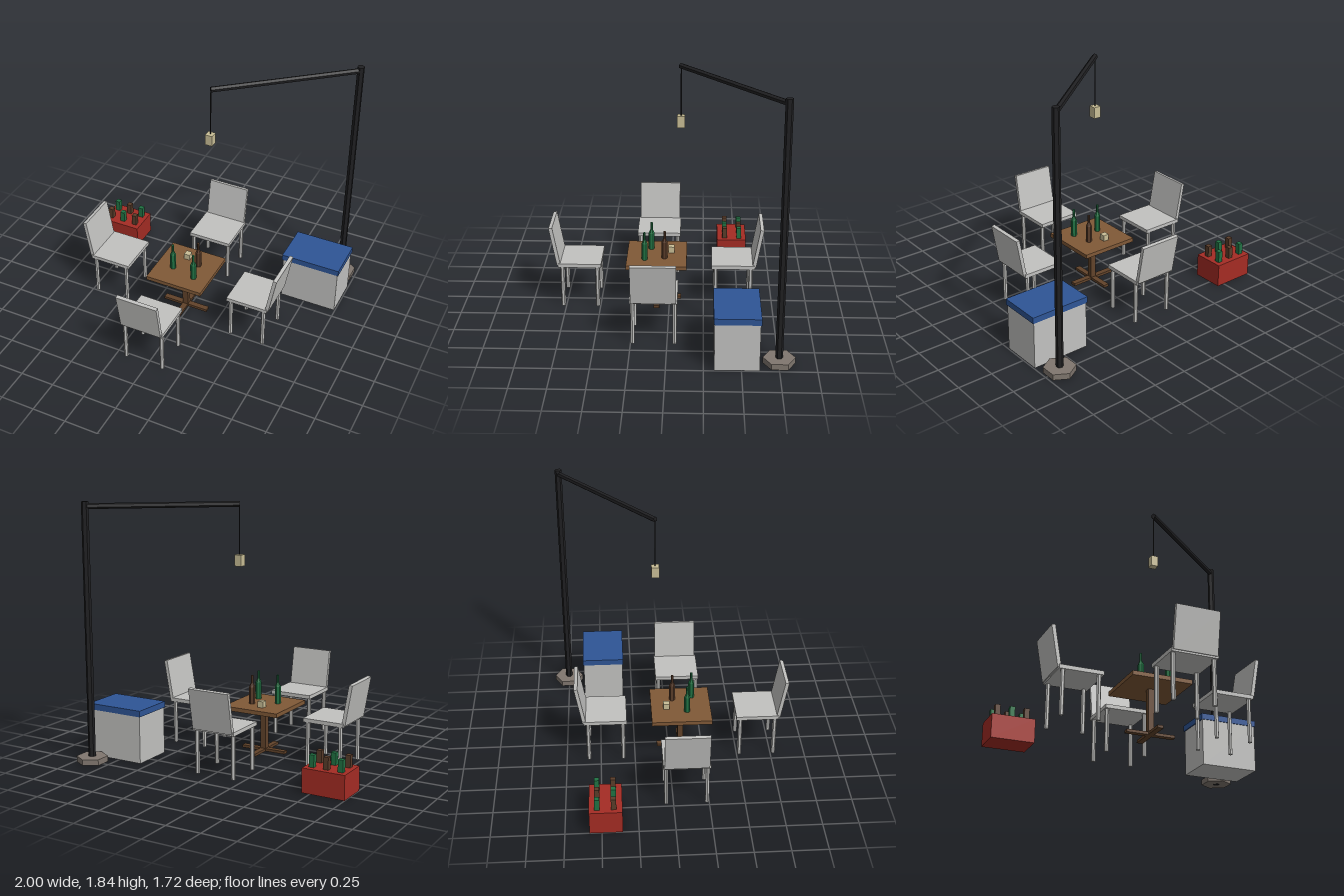
import * as THREE from 'three';

const material = (name, color, side = THREE.FrontSide) => {
  const m = new THREE.MeshStandardMaterial({ color, flatShading: true, side });
  m.name = name;
  return m;
};

export function createModel() {
  const grey = material('pale grey plastic', 0xc2c2c0);
  const blue = material('blue lid', 0x2e5596);
  const red = material('red crate', 0xa52c24);
  const wood = material('table wood', 0x805937);
  const darkWood = material('dark wood', 0x62432a);
  const green = material('green glass', 0x217344);
  const brown = material('brown glass', 0x5a3d2a);
  const black = material('black metal', 0x202022);
  const stone = material('stone base', 0x80776f);
  const cream = material('cream lamp', 0xcabf97);

  const model = new THREE.Group();
  model.name = 'outdoorSeating';

  const add = (parent, name, geometry, mat, x, y, z) => {
    const mesh = new THREE.Mesh(geometry, mat);
    mesh.name = name;
    mesh.position.set(x, y, z);
    parent.add(mesh);
    return mesh;
  };
  const group = (name, x = 0, y = 0, z = 0) => {
    const g = new THREE.Group();
    g.name = name;
    g.position.set(x, y, z);
    model.add(g);
    return g;
  };
  const box = (w, h, d) => new THREE.BoxGeometry(w, h, d);
  const hex = (r, h) => new THREE.CylinderGeometry(r, r, h, 6);

  // Table: square top on a column with crossed feet
  const cx = -0.034, cz = 0.092;
  const table = group('table', cx, 0, cz);
  add(table, 'tableTop', box(0.435, 0.03, 0.435), wood, 0, 0.341, 0);
  add(table, 'tableColumn', box(0.042, 0.31, 0.042), darkWood, 0, 0.172, 0);
  add(table, 'tableFootX', box(0.35, 0.02, 0.042), darkWood, 0, 0.01, 0);
  add(table, 'tableFootZ', box(0.042, 0.0196, 0.35), darkWood, 0, 0.01, 0);

  // Four chairs around the table, each with its back away from it
  for (let i = 0; i < 4; i++) {
    const angle = i * Math.PI / 2;
    const chair = group('chair', cx + Math.sin(angle) * 0.553, 0, cz + Math.cos(angle) * 0.553);
    chair.rotation.y = angle;
    add(chair, 'seat', box(0.327, 0.028, 0.31), grey, 0, 0.326, 0);
    const back = add(chair, 'backrest', box(0.31, 0.295, 0.026), grey, 0, 0.4705, 0.177);
    back.rotation.x = 0.175;
    for (const x of [-0.143, 0.143])
      for (const z of [-0.126, 0.126])
        add(chair, 'chairLeg', hex(0.0155, 0.314), grey, x, 0.157, z);
  }

  // Bottles standing on the table
  const profile = [[0, 0], [0.022, 0], [0.022, 0.125], [0.009, 0.155], [0.009, 0.21], [0, 0.21]]
    .map(([r, y]) => new THREE.Vector2(r, y));
  const bottle = new THREE.LatheGeometry(profile, 6);
  add(model, 'brownBottle', bottle, brown, 0.037, 0.356, 0.035);
  add(model, 'greenBottle', bottle, green, -0.12, 0.356, 0.135);
  add(model, 'greenBottle', bottle, green, 0.065, 0.356, 0.178);

  // Small cube on the table
  add(model, 'tableCube', box(0.045, 0.045, 0.045), cream, -0.07, 0.3785, -0.013);

  // Cool box
  const cooler = group('coolBox', 0.78, 0, -0.47);
  add(cooler, 'coolBoxBody', box(0.425, 0.342, 0.3), grey, 0, 0.171, 0);
  add(cooler, 'coolBoxLid', box(0.44, 0.044, 0.312), blue, 0, 0.362, 0);

  // Crate with six bottle tops in alternating colours
  const crate = group('crate', -0.846, 0, -0.471);
  add(crate, 'crateBody', box(0.308, 0.17, 0.226), red, 0, 0.085, 0);
  for (let i = 0; i < 3; i++)
    for (let j = 0; j < 2; j++)
      add(crate, 'crateBottle', box(0.036, 0.09, 0.036), (i + j) % 2 ? brown : green,
        (i - 1) * 0.104, 0.21, (j - 0.5) * 0.112 - 0.002);

  // Lamp post with a diagonal arm reaching over the table
  const px = 0.888, pz = -0.752;
  const lamp = group('lampPost');
  add(lamp, 'lampBase', hex(0.11, 0.042), stone, px, 0.023, pz);
  add(lamp, 'lampPole', hex(0.0255, 1.837), black, px, 0.9185, pz);
  const from = new THREE.Vector3(px, 1.805, pz), to = new THREE.Vector3(0.07, 1.805, -0.08);
  const mid = from.clone().add(to).multiplyScalar(0.5);
  const arm = add(lamp, 'lampArm', hex(0.02, from.distanceTo(to)), black, mid.x, mid.y, mid.z);
  arm.quaternion.setFromUnitVectors(new THREE.Vector3(0, 1, 0), to.clone().sub(from).normalize());
  add(lamp, 'lampCord', hex(0.004, 0.355), black, 0.071, 1.625, -0.082);
  add(lamp, 'lampShade', box(0.054, 0.08, 0.054), cream, 0.07, 1.413, -0.082);

  return model;
}
